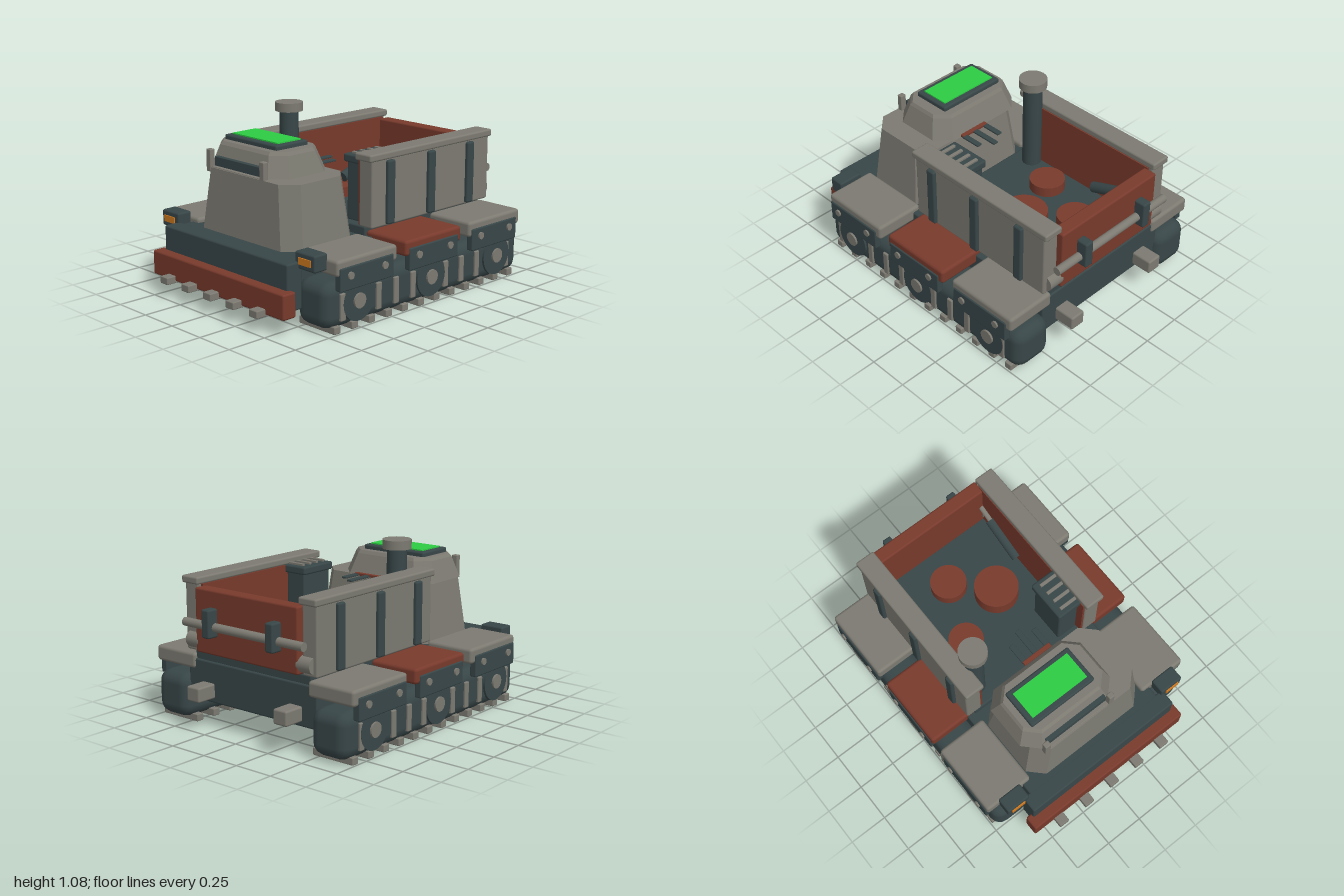
import * as THREE from 'three';
import { RoundedBoxGeometry } from 'three/addons/geometries/RoundedBoxGeometry.js';

const paint = (name, color) => {
  const m = new THREE.MeshStandardMaterial({ color });
  m.name = name;
  return m;
};

// Closed solid through a stack of octagons: each level is [y, x0, x1, z0, z1, corner cut]
function octagonLoft(levels) {
  const loops = levels.map(([y, x0, x1, z0, z1, c]) => [
    [x1, y, z0 + c], [x1, y, z1 - c], [x1 - c, y, z1], [x0 + c, y, z1],
    [x0, y, z1 - c], [x0, y, z0 + c], [x0 + c, y, z0], [x1 - c, y, z0]]);
  const pos = [];
  const tri = (...pts) => pts.forEach((p) => pos.push(...p));
  for (let l = 0; l < loops.length - 1; l++) {
    for (let i = 0; i < 8; i++) {
      const j = (i + 1) % 8, lo = loops[l], hi = loops[l + 1];
      tri(lo[i], hi[i], lo[j]);
      tri(lo[j], hi[i], hi[j]);
    }
  }
  const bottom = loops[0], top = loops[loops.length - 1];
  for (let i = 1; i < 7; i++) {
    tri(bottom[0], bottom[i], bottom[i + 1]);
    tri(top[0], top[i + 1], top[i]);
  }
  const g = new THREE.BufferGeometry();
  g.setAttribute('position', new THREE.Float32BufferAttribute(pos, 3));
  g.computeVertexNormals();
  return g;
}

export function createModel() {
  const model = new THREE.Group();
  model.name = 'trackedHauler';
  const gray = paint('warmGrayArmor', 0x7c7a71);
  const dark = paint('darkSlate', 0x384648);
  const red = paint('rustRed', 0x783a2c);
  const green = paint('glowGreen', 0x2ecc44);
  const orange = paint('lampOrange', 0xd07a20);

  const add = (name, geo, mat) => {
    const m = new THREE.Mesh(geo, mat);
    m.name = name;
    model.add(m);
    return m;
  };
  // Bevelled box given by its limits on each axis
  const box = (name, mat, x0, x1, y0, y1, z0, z1, r = 0.012) => {
    const w = x1 - x0, h = y1 - y0, d = z1 - z0;
    const geo = r > 0 ? new RoundedBoxGeometry(w, h, d, 2, Math.min(r, w / 3, h / 3, d / 3))
      : new THREE.BoxGeometry(w, h, d);
    const m = add(name, geo, mat);
    m.position.set((x0 + x1) / 2, (y0 + y1) / 2, (z0 + z1) / 2);
    return m;
  };
  // The same box on one side: s = 1 is left, -1 is right
  const sideBox = (s, name, mat, x0, x1, ...rest) =>
    (s > 0 ? box(name, mat, x0, x1, ...rest) : box(name, mat, -x1, -x0, ...rest));
  // Cylinder between two points
  const rod = (name, mat, r, a, b, sides = 24) => {
    const p = new THREE.Vector3(...a), q = new THREE.Vector3(...b), d = q.clone().sub(p);
    const m = add(name, new THREE.CylinderGeometry(r, r, d.length(), sides), mat);
    m.position.copy(p).add(q).multiplyScalar(0.5);
    m.quaternion.setFromUnitVectors(new THREE.Vector3(0, 1, 0), d.normalize());
    return m;
  };

  // Hull and cargo floor
  box('chassis', dark, -0.5, 0.5, 0.15, 0.4, -0.87, 0.78);
  box('cargoFloor', dark, -0.45, 0.45, 0.39, 0.455, -0.86, 0.17);

  for (const s of [1, -1]) {
    // Track with ground cleats, side links and road wheels
    sideBox(s, 'track', dark, 0.475, 0.74, 0.02, 0.295, -0.92, 0.755, 0.075);
    for (let i = 0; i < 12; i++) {
      const z = 0.675 - i * 0.137;
      sideBox(s, 'groundCleat', gray, 0.455, 0.742, 0, 0.045, z - 0.025, z + 0.025, 0.006);
    }
    for (let i = 0; i < 11; i++) {
      const z = 0.64 - i * 0.1425;
      sideBox(s, 'sideLink', gray, 0.72, 0.752, 0.07, 0.23, z - 0.02, z + 0.02, 0.006);
    }
    for (const z of [0.52, -0.08, -0.68]) {
      rod('roadWheel', dark, 0.12, [s * 0.7, 0.165, z], [s * 0.753, 0.165, z], 32);
      rod('wheelHub', gray, 0.045, [s * 0.7, 0.165, z], [s * 0.765, 0.165, z], 16);
    }

    // Fenders with bolted skirts
    [[0.225, 0.7, gray, 0.475], [-0.325, 0.155, red, -0.08], [-0.88, -0.4, gray, -0.63]]
      .forEach(([z0, z1, mat, zc]) => {
        sideBox(s, 'fender', mat, 0.44, 0.767, 0.335, 0.43, z0, z1, 0.02);
        sideBox(s, 'fenderSkirt', dark, 0.73, 0.775, 0.25, 0.385, zc - 0.21, zc + 0.21, 0.008);
        for (const dz of [-0.135, 0.135]) {
          rod('skirtBolt', gray, 0.022, [s * 0.76, 0.335, zc + dz], [s * 0.786, 0.335, zc + dz], 12);
        }
      });

    // Headlamps and blade arms
    sideBox(s, 'lampHousing', dark, 0.52, 0.68, 0.36, 0.46, 0.69, 0.79);
    sideBox(s, 'lampLens', orange, 0.555, 0.653, 0.39, 0.43, 0.788, 0.797, 0);
    sideBox(s, 'bladeArm', gray, 0.345, 0.4, 0.27, 0.36, 0.7, 0.79);

    // Cargo wall with lining, cap rail and ribs
    sideBox(s, 'cargoWall', gray, 0.4, 0.507, 0.45, 0.86, -0.875, 0.17);
    sideBox(s, 'wallLining', red, 0.386, 0.402, 0.455, 0.85, -0.85, 0.16, 0);
    sideBox(s, 'wallRail', gray, 0.387, 0.517, 0.85, 0.895, -0.895, 0.195);
    for (const z of [0.025, -0.33, -0.685]) {
      sideBox(s, 'wallRib', dark, 0.49, 0.53, 0.46, 0.845, z - 0.031, z + 0.031);
    }

    // Tailgate strut, hinge, bracket and tow lug
    rod('strutBarrel', dark, 0.035, [s * 0.375, 0.5, -0.46], [s * 0.375, 0.6, -0.73], 16);
    rod('strutRod', gray, 0.018, [s * 0.375, 0.58, -0.68], [s * 0.375, 0.64, -0.84], 12);
    rod('tailgateHinge', gray, 0.05, [s * 0.38, 0.515, -0.86], [s * 0.48, 0.515, -0.86], 20);
    sideBox(s, 'barBracket', dark, 0.216, 0.276, 0.57, 0.74, -0.98, -0.9);
    sideBox(s, 'towLug', gray, 0.29, 0.39, 0.18, 0.27, -1, -0.85);
  }

  // Tailgate and its cross bar
  box('tailgate', red, -0.395, 0.395, 0.455, 0.84, -0.908, -0.82);
  rod('tailgateBar', gray, 0.026, [-0.46, 0.632, -0.928], [0.46, 0.632, -0.928], 16);

  // Front blade, ram bumper and teeth
  box('frontBlade', dark, -0.55, 0.55, 0.12, 0.4, 0.762, 0.872);
  box('ramBumper', red, -0.588, 0.588, 0.1, 0.25, 0.843, 0.937);
  for (let i = -2; i <= 2; i++) {
    box('ramTooth', gray, i * 0.202 - 0.034, i * 0.202 + 0.034, 0.09, 0.135, 0.89, 1, 0.006);
  }

  // Cab body and offset cupola
  add('cabBody', octagonLoft([
    [0.38, -0.437, 0.435, 0.185, 0.737, 0.09],
    [0.775, -0.385, 0.388, 0.222, 0.708, 0.09]]), gray);
  add('cupola', octagonLoft([
    [0.77, -0.428, 0.252, 0.215, 0.67, 0.09],
    [0.9, -0.385, 0.21, 0.262, 0.628, 0.08],
    [0.92, -0.37, 0.198, 0.275, 0.612, 0.075]]), gray);
  box('visionSlit', dark, -0.3, 0.137, 0.775, 0.836, 0.6, 0.676, 0.004);
  for (const x of [-0.32, 0.155]) {
    box('visorPost', gray, x - 0.02, x + 0.02, 0.745, 0.88, 0.672, 0.708, 0.006);
  }
  box('visorSill', gray, -0.3, 0.137, 0.765, 0.78, 0.67, 0.7, 0.004);
  box('roofHatch', dark, -0.333, 0.13, 0.91, 0.949, 0.32, 0.57);
  box('roofScreen', green, -0.3, 0.1, 0.948, 0.957, 0.352, 0.535, 0);

  // Rear cab controls
  box('leverPanel', red, -0.1, 0.1, 0.773, 0.79, 0.19, 0.217, 0.003);
  [[-0.085, 0.065], [0, 0.012], [0.085, 0.065]].forEach(([x, z]) =>
    box('controlLever', dark, x - 0.018, x + 0.018, 0.773, 0.785, z, 0.2, 0.003));

  // Exhaust stack
  rod('exhaustStack', dark, 0.06, [-0.345, 0.44, 0.04], [-0.345, 1.03, 0.04], 28);
  rod('exhaustCap', gray, 0.087, [-0.345, 1.02, 0.04], [-0.345, 1.075, 0.04], 28);

  // Cargo drums
  [[-0.075, -0.585, 0.115, 0.53], [0.135, -0.365, 0.14, 0.56], [-0.22, -0.215, 0.11, 0.52]]
    .forEach(([x, z, r, top]) => rod('cargoDrum', red, r, [x, 0.44, z], [x, top, z], 32));

  // Vent box with slatted lid
  box('ventBox', dark, 0.245, 0.387, 0.45, 0.82, -0.125, 0.115);
  box('ventLid', dark, 0.228, 0.4, 0.805, 0.855, -0.14, 0.13);
  for (const z of [-0.1, -0.037, 0.026, 0.088]) {
    box('ventSlat', gray, 0.268, 0.385, 0.85, 0.868, z - 0.01, z + 0.01, 0.003);
  }
  return model;
}
